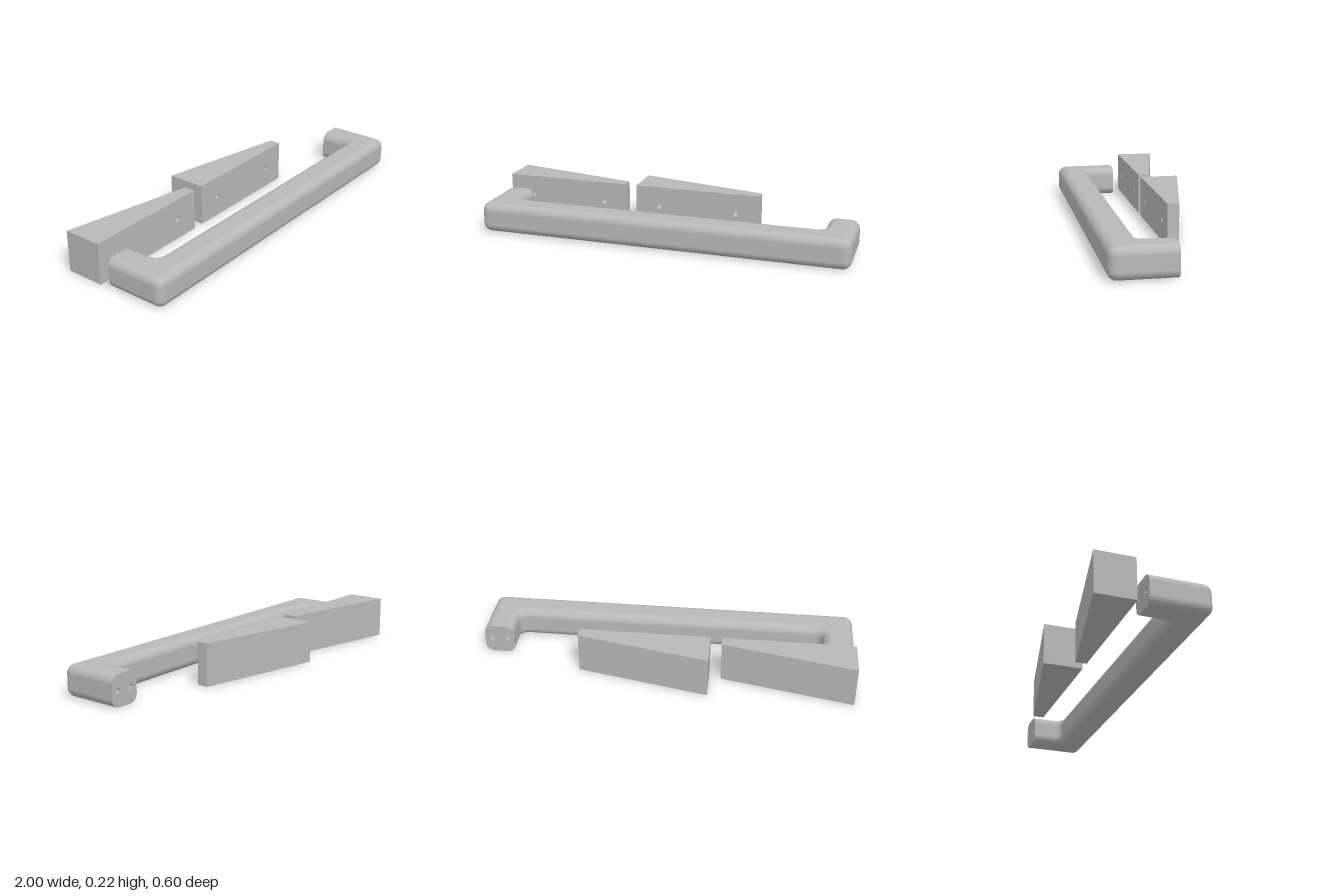
import * as THREE from 'three';

const grey = new THREE.MeshStandardMaterial({ color: 0xb8b8b8 });
grey.name = 'satin grey';

const W = 0.163;      // square section of the handle
const R = 0.045;      // rounding of its edges
const RI = 0.04;      // inner elbow radius
const FRONT = 0.297, BACK = -0.03;
const HOLE = 0.014;   // screw hole radius

function add(group, name, geometry) {
  const mesh = new THREE.Mesh(geometry, grey);
  mesh.name = name;
  group.add(mesh);
  return mesh;
}

// blind screw hole opening towards +z (dir 1) or -z (dir -1)
function addPocket(group, x, y, z, depth, dir) {
  const profile = [[HOLE, 0], [HOLE, -depth], [0, -depth]].map(p => new THREE.Vector2(...p));
  const g = new THREE.LatheGeometry(profile, 20);
  g.rotateX(dir * Math.PI / 2);
  add(group, 'screwHole', g).position.set(x, y, z);
}

function punch(shape, x, y) {
  shape.holes.push(new THREE.Path().absarc(x, y, HOLE, 0, Math.PI * 2, true));
}

// rounded square section swept along the U, with tight outer and inner elbows
function handleGeometry() {
  const section = [], n = 8;
  for (let k = 0; k < 4; k++) {
    for (let i = 0; i <= n; i++) {
      const a = (k + i / n) * Math.PI / 2;
      const nx = Math.cos(a), ny = Math.sin(a);
      section.push({
        outer: k === 0 || k === 3, nx, ny,
        inset: R * (1 - Math.abs(nx)),
        y: (k < 2 ? W - R : R) + R * ny,
      });
    }
  }
  const half = [{ t: 0, end: true }];
  for (let i = 0; i <= 10; i++) half.push({ t: i / 10 * Math.PI / 2 });
  const stations = [
    ...half.map(s => ({ ...s, m: 1 })),
    ...half.slice().reverse().map(s => ({ ...s, m: -1 })),
  ];
  const pos = [], nor = [], idx = [], c = section.length;
  stations.forEach(({ t, end, m }, s) => {
    const dx = -Math.cos(t), dz = Math.sin(t);
    section.forEach((p, j) => {
      const rad = p.outer ? R - p.inset : RI + p.inset;
      const off = p.outer ? R : W + RI;
      const x = -1 + off + rad * dx;
      const z = end ? BACK : FRONT - off + rad * dz;
      pos.push(m * x, p.y, z);
      nor.push(m * p.nx * dx, p.ny, p.nx * dz);
      if (s < stations.length - 1) {
        const k = (j + 1) % c, a = s * c, b = a + c;
        idx.push(a + j, b + j, b + k, a + j, b + k, a + k);
      }
    });
  });
  const g = new THREE.BufferGeometry();
  g.setAttribute('position', new THREE.Float32BufferAttribute(pos, 3));
  g.setAttribute('normal', new THREE.Float32BufferAttribute(nor, 3));
  g.setIndex(idx);
  return g;
}

// flat mounting face at the end of a handle leg, with two screw holes
function legEndGeometry() {
  const h = W / 2, q = h - R, s = new THREE.Shape();
  s.absarc(q, q, R, 0, Math.PI / 2);
  s.absarc(-q, q, R, Math.PI / 2, Math.PI);
  s.absarc(-q, -q, R, Math.PI, Math.PI * 1.5);
  s.absarc(q, -q, R, Math.PI * 1.5, Math.PI * 2);
  for (const x of [-0.043, 0.043]) punch(s, x, 0);
  return new THREE.ShapeGeometry(s, 10).rotateY(Math.PI);
}

function makeHandle() {
  const handle = new THREE.Group();
  handle.name = 'handle';
  add(handle, 'handleBar', handleGeometry());
  for (const side of [-1, 1]) {
    const cx = side * (1 - W / 2);
    add(handle, 'legEnd', legEndGeometry()).position.set(cx, W / 2, BACK);
    for (const dx of [-0.043, 0.043]) addPocket(handle, cx + dx, W / 2, BACK, 0.1, -1);
  }
  return handle;
}

// tapered block: thick at its -x end, drilled on the front
function makeWedge(x0) {
  const L = 0.698, H = 0.223, T0 = 0.209, T1 = 0.06, z = -0.089;
  const wedge = new THREE.Group();
  wedge.name = 'wedgeBlock';
  wedge.position.set(x0, 0, z);

  // box with its back slanted and its front left open for the drilled face
  const body = new THREE.BoxGeometry(L, H, 1).translate(L / 2, H / 2, -0.5);
  const p = body.attributes.position;
  for (let i = 0; i < p.count; i++) {
    if (p.getZ(i) < -0.5) p.setZ(i, p.getX(i) < L / 2 ? -T0 : -T1);
  }
  const index = Array.from(body.index.array);
  index.splice(24, 6);
  body.setIndex(index);
  body.clearGroups();
  body.computeVertexNormals();
  add(wedge, 'wedgeBody', body);

  const face = new THREE.Shape();
  face.moveTo(0, 0).lineTo(L, 0).lineTo(L, H).lineTo(0, H);
  for (const x of [0.132, 0.566]) {
    punch(face, x, H / 2);
    addPocket(wedge, x, H / 2, 0, 0.05, 1);
  }
  add(wedge, 'wedgeFront', new THREE.ShapeGeometry(face, 10));
  return wedge;
}

export function createModel() {
  const model = new THREE.Group();
  model.name = 'pullHandleWithWedges';
  model.add(makeHandle(), makeWedge(-1), makeWedge(-0.241));
  return model;
}
